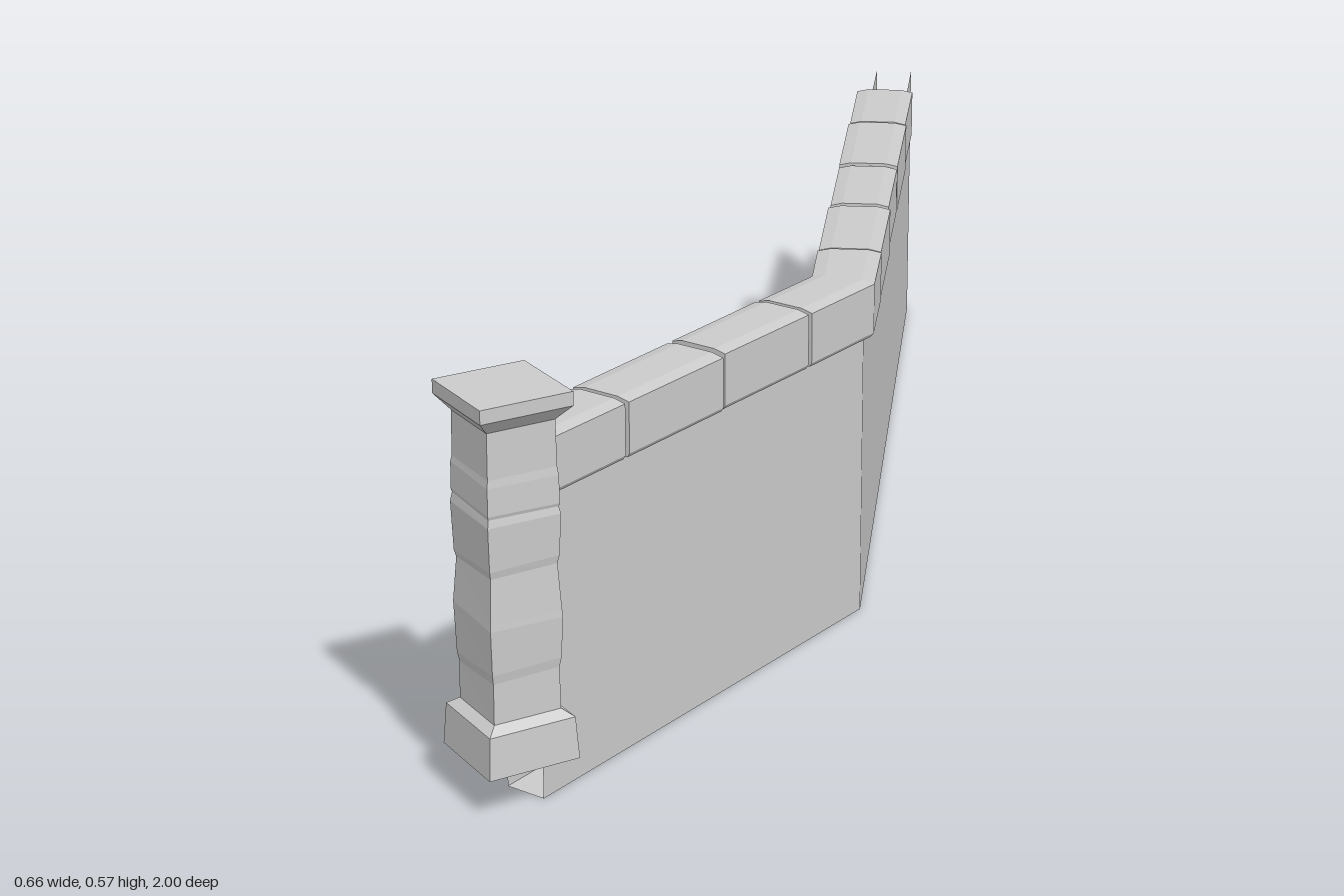
import * as THREE from 'three';

const stone = new THREE.MeshStandardMaterial({ color: 0xcccccc, flatShading: true });
const sheet = new THREE.MeshStandardMaterial({ color: 0xcccccc, flatShading: true, side: THREE.DoubleSide });

// Sweep a section of [side, height] points along a ground path of [x, z] points, with mitred bends.
function sweep(path, section, closed, scaleAt = () => 1) {
  const n = section.length, pos = [], idx = [];
  const dir = (a, b) => new THREE.Vector2(b[0] - a[0], b[1] - a[1]).normalize();
  path.forEach((p, k) => {
    const d0 = k > 0 ? dir(path[k - 1], p) : dir(p, path[1]);
    const d1 = k < path.length - 1 ? dir(p, path[k + 1]) : d0;
    const d = d0.clone().add(d1).normalize();
    const mitre = scaleAt(k) / d.dot(d0);
    for (const [s, y] of section) pos.push(p[0] + d.y * s * mitre, y, p[1] - d.x * s * mitre);
  });
  for (let k = 0; k < path.length - 1; k++) {
    for (let j = 0; j < (closed ? n : n - 1); j++) {
      const a = k * n + j, b = k * n + (j + 1) % n;
      idx.push(a, b, a + n, b, b + n, a + n);
    }
  }
  if (closed) {
    const e = (path.length - 1) * n;
    for (let j = 1; j < n - 1; j++) idx.push(0, j + 1, j, e, e + j, e + j + 1);
  }
  const g = new THREE.BufferGeometry();
  g.setAttribute('position', new THREE.Float32BufferAttribute(pos, 3));
  g.setIndex(idx);
  g.computeVertexNormals();
  return g;
}

export function createModel() {
  const model = new THREE.Group();
  const add = (name, geometry, material, parent = model) => {
    const mesh = new THREE.Mesh(geometry, material);
    mesh.name = name;
    parent.add(mesh);
  };

  // Bent wall: two sides and a floor, open at the top and both ends
  const bend = [0.285, 0.18];
  const wallSection = [[-0.03, 0.447], [-0.03, 0], [0.03, 0], [0.03, 0.447]];
  add('wall', sweep([[-0.304, -0.987], bend, [0.24, 0.9]], wallSection, false), sheet);

  // Coping stones, separated by narrow joints; one stone turns the corner
  const coping = new THREE.Group();
  coping.name = 'coping';
  model.add(coping);
  const centre = z => [z < bend[1] ? bend[0] + (z - bend[1]) * 0.502 : bend[0] - (z - bend[1]) * 0.0625, z];
  const joints = [-0.69, -0.515, -0.305, -0.125, 0.063, 0.325, 0.525, 0.735, 0.9];
  for (let i = 0; i < joints.length - 1; i++) {
    const z0 = joints[i] + (i ? 0.004 : 0), z1 = joints[i + 1] - 0.004;
    const path = [centre(z0), centre(z1)];
    if (z0 < bend[1] && z1 > bend[1]) path.splice(1, 0, bend);
    const w = 0.046 + 0.001 * Math.sin(i * 2.3);
    const top = 0.501 + 0.0015 * Math.sin(i * 1.7);
    const section = [[-w + 0.004, 0.423], [w - 0.004, 0.423], [w, 0.429], [w, top],
      [w * 0.6, top + 0.004], [-w * 0.6, top + 0.004], [-w, top], [-w, 0.429]];
    add('copingStone', sweep(path, section, true, k => (k === 0 ? 1 : 0.97)), stone, coping);
  }

  // Square pillar: plinth, uneven shaft and flared cap in one profile of [half diagonal, height]
  const profile = [[0, 0.062], [0.092, 0.062], [0.087, 0.12], [0.068, 0.13],
    [0.067, 0.185], [0.07, 0.198], [0.073, 0.262], [0.072, 0.272], [0.067, 0.33],
    [0.07, 0.34], [0.073, 0.402], [0.07, 0.413], [0.072, 0.418], [0.071, 0.455],
    [0.069, 0.465], [0.068, 0.527], [0.092, 0.547], [0.092, 0.566], [0, 0.566]];
  const pillar = new THREE.LatheGeometry(profile.map(p => new THREE.Vector2(...p)), 4, 0.325);
  // Tilt the shaft courses slightly so they look rough-hewn
  const p = pillar.attributes.position;
  for (let i = 0; i < p.count; i++) {
    const y = p.getY(i);
    if (y > 0.15 && y < 0.5) p.setY(i, y + 0.06 * Math.sin(y * 40) * p.getX(i));
  }
  pillar.translate(0.227, 0, 0.911);
  add('pillar', pillar, stone);

  return model;
}
